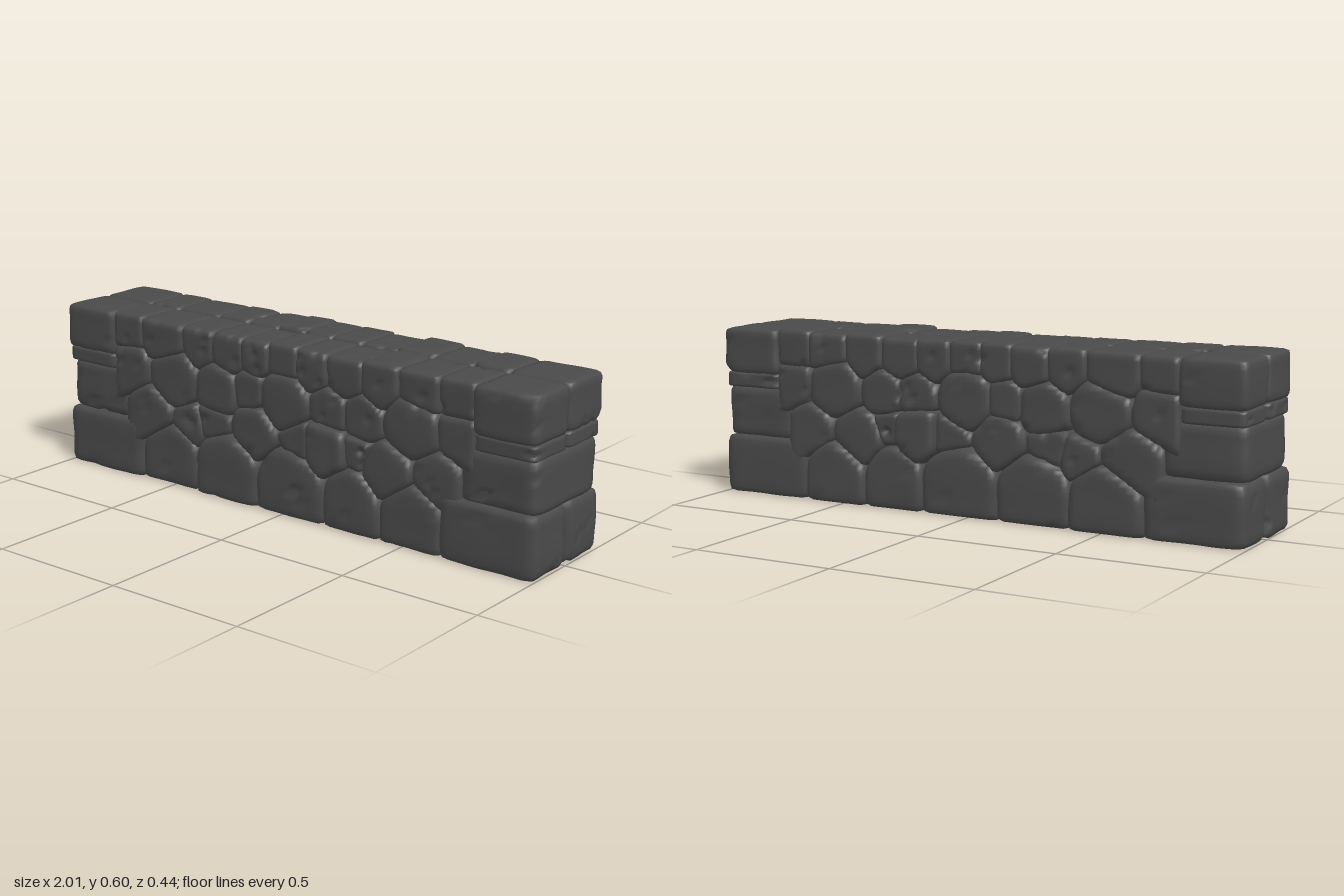
import * as THREE from 'three';
import { mergeVertices } from 'three/addons/utils/BufferGeometryUtils.js';

const stoneMat = new THREE.MeshStandardMaterial({ color: 0x4a4a4a });
stoneMat.name = 'dark grey stone';

// small seeded random generator
let seed = 11;
const rand = () => {
  seed = (seed * 16807) % 2147483647;
  return seed / 2147483647;
};

// Rounded stone: a subdivided box whose vertices are pushed out to a soft
// intersection of planes, then worn with shallow lumps and chipped pits.
// planes: [nx, ny, nz, distance from centre]
function stone(name, centre, half, planes, sharp = 11) {
  let geo = new THREE.BoxGeometry(2, 2, 2, 10, 10, 10);
  geo.deleteAttribute('uv');
  geo.deleteAttribute('normal');
  geo = mergeVertices(geo);
  const pos = geo.attributes.position;
  const c = new THREE.Vector3(...centre);
  const v = new THREE.Vector3();
  const phase = [rand() * 6, rand() * 6, rand() * 6];

  for (let i = 0; i < pos.count; i++) {
    v.fromBufferAttribute(pos, i);
    v.set(v.x * half[0], v.y * half[1], v.z * half[2]);
    let sum = 0;
    for (const [nx, ny, nz, d] of planes) {
      const t = (nx * v.x + ny * v.y + nz * v.z) / d;
      if (t > 0) sum += t ** sharp;
    }
    v.multiplyScalar(sum ** (-1 / sharp));
    const lump = Math.sin(v.x * 33 + phase[0]) + Math.sin(v.y * 37 + phase[1]) + Math.sin(v.z * 35 + phase[2]);
    v.multiplyScalar(1 - 0.008 * (lump + 1.5));
    pos.setXYZ(i, v.x, v.y, v.z);
  }

  // pits
  const p = new THREE.Vector3();
  for (let k = 0; k < 7; k++) {
    p.fromBufferAttribute(pos, Math.floor(rand() * pos.count));
    const radius = 0.014 + rand() * 0.01;
    for (let i = 0; i < pos.count; i++) {
      v.fromBufferAttribute(pos, i);
      const d = v.distanceTo(p);
      if (d < radius) {
        v.setLength(v.length() - 0.012 * (1 - d / radius));
        pos.setXYZ(i, v.x, v.y, v.z);
      }
    }
  }

  // place, and keep the underside flat on the ground
  for (let i = 0; i < pos.count; i++) {
    v.fromBufferAttribute(pos, i).add(c);
    pos.setXYZ(i, v.x, Math.max(0, v.y), v.z);
  }
  geo.computeVertexNormals();
  const mesh = new THREE.Mesh(geo, stoneMat);
  mesh.name = name;
  return mesh;
}

// Squared stone filling a box
function blockStone(name, x0, x1, y0, y1, z0, z1) {
  const h = [(x1 - x0) / 2, (y1 - y0) / 2, (z1 - z0) / 2];
  const c = [(x0 + x1) / 2, (y0 + y1) / 2, (z0 + z1) / 2];
  const planes = [];
  for (const s of [-1, 1]) planes.push([s, 0, 0, h[0]], [0, s, 0, h[1]], [0, 0, s, h[2]]);
  return stone(name, c, h, planes, 13);
}

// Rubble between the courses: x, y, radius
const RUBBLE = [
  [-0.69, 0.405, 0.08], [-0.495, 0.4, 0.105], [-0.6, 0.245, 0.1],
  [-0.43, 0.235, 0.065], [-0.285, 0.39, 0.085], [-0.3, 0.265, 0.06],
  [-0.12, 0.27, 0.09], [-0.14, 0.405, 0.065], [0.005, 0.4, 0.1],
  [0.07, 0.265, 0.07], [0.2, 0.405, 0.065], [0.19, 0.27, 0.085],
  [0.315, 0.28, 0.04], [0.335, 0.405, 0.07], [0.53, 0.41, 0.1],
  [0.44, 0.235, 0.095], [0.625, 0.245, 0.085], [0.705, 0.415, 0.065],
];
// Vertical joints of the bottom and top courses
const BASE_JOINTS = [-0.645, -0.385, -0.11, 0.18, 0.41, 0.655];
const TOP_JOINTS = [-0.765, -0.635, -0.44, -0.305, -0.17, -0.055, 0.065, 0.19, 0.335, 0.48, 0.635, 0.77];

function course(joints, name, y, h) {
  return joints.slice(1).map((b, i) => ({ name, x: (joints[i] + b) / 2, y, r: (b - joints[i]) / 2, h }));
}

export function createModel() {
  const wall = new THREE.Group();
  wall.name = 'stoneWall';

  const cells = [
    ...course(BASE_JOINTS, 'baseStone', 0.1, 0.1),
    ...course(TOP_JOINTS, 'topStone', 0.532, 0.065),
    ...RUBBLE.map(([x, y, r]) => ({ name: 'rubbleStone', x, y, r, h: r })),
  ];

  for (const side of [1, -1]) {
    const face = new THREE.Group();
    face.name = side > 0 ? 'frontFace' : 'backFace';
    wall.add(face);

    // fitted stones, each bounded by its neighbours
    for (const a of cells) {
      const edge = a.y < 0.2 ? 0.655 : a.y < 0.35 ? 0.725 : 0.775;
      const bulge = a.x === 0.19 && a.y === 0.27 ? 0.218 : 0.19 + rand() * 0.012;
      const zc = bulge / 2;
      const planes = [
        [0, 0, 1, zc], [0, 0, -1, zc],
        [0, -1, 0, a.y + 0.006], [0, 1, 0, 0.592 + rand() * 0.012 - a.y],
        [1, 0, 0, edge - a.x], [-1, 0, 0, edge + a.x],
      ];
      for (const b of cells) {
        const dx = b.x - a.x, dy = b.y - a.y, D = Math.hypot(dx, dy);
        if (b === a || D > a.r + b.r + 0.12) continue;
        const d = (D * D + a.r * a.r - b.r * b.r) / (2 * D);
        planes.push([dx / D, dy / D, 0, Math.max(0.025, d + 0.004)]);
      }
      face.add(stone(a.name, [a.x, a.y, side * zc], [a.r, a.h, zc], planes));
    }

    // squared corner stones at both ends
    for (const end of [1, -1]) {
      const corner = (name, inner, outer, y0, y1, za, zb) => {
        const x = [end * inner, end * outer].sort((p, q) => p - q);
        const z = [side * za, side * zb].sort((p, q) => p - q);
        face.add(blockStone(name, ...x, y0, y1, ...z));
      };
      corner('cornerBaseStone', 0.645, 1.003, -0.004, 0.212, 0.002, 0.2);
      corner('cornerThinStone', 0.77, 0.995, 0.383, 0.438, -0.004 + 0.01, 0.193);
      corner('cornerTopStone', 0.765, 1.0, 0.434, 0.597, 0, 0.204);
    }
  }

  // single stones running through the wall at each end
  wall.add(blockStone('throughStoneLeft', 0.71, 0.998, 0.203, 0.39, -0.187, 0.187));
  wall.add(blockStone('throughStoneRight', -0.998, -0.71, 0.203, 0.39, -0.187, 0.187));

  // packed core behind the joints
  const core = new THREE.Mesh(new THREE.BoxGeometry(1.7, 0.43, 0.24), stoneMat);
  core.name = 'core';
  core.position.y = 0.285;
  wall.add(core);

  return wall;
}
